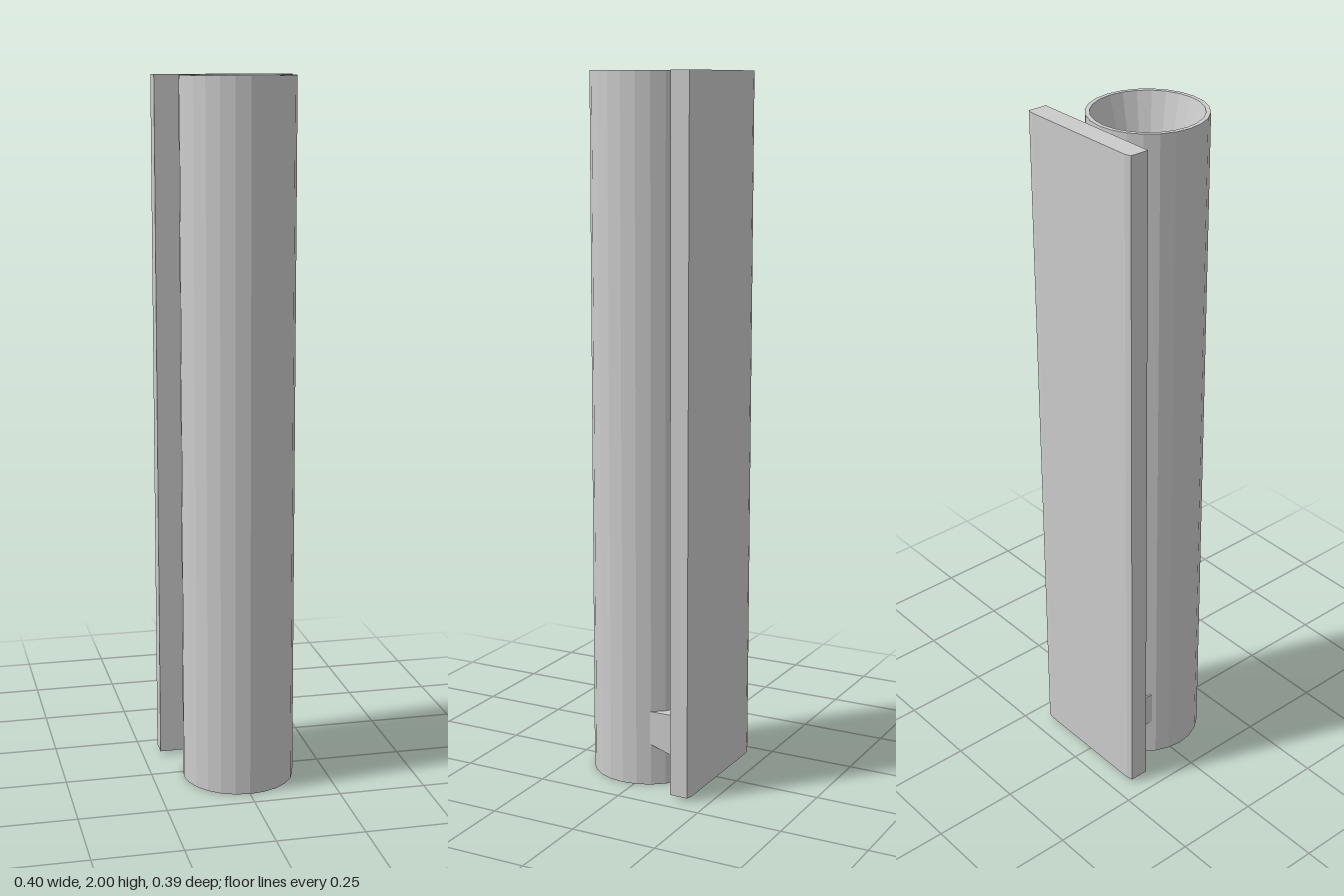
import * as THREE from 'three';

const TUBE_Z = 0.035;

// Prism from an x/z outline, standing between two heights
function prism(outline, y0, y1) {
  const shape = new THREE.Shape(outline.map(([x, z]) => new THREE.Vector2(x, -z)));
  const geometry = new THREE.ExtrudeGeometry(shape, { depth: y1 - y0, bevelEnabled: false });
  return geometry.rotateX(-Math.PI / 2).translate(0, y0, 0);
}

export function createModel() {
  const group = new THREE.Group();
  const material = new THREE.MeshStandardMaterial({ color: 0xcccccc, flatShading: true });
  const add = (name, geometry) => {
    const mesh = new THREE.Mesh(geometry, material);
    mesh.name = name;
    group.add(mesh);
  };

  // Round post with a tapered recess in each end
  const profile = [
    [0, 0.09], [0.11, 0.09], [0.142, 0], [0.16, 0],
    [0.16, 2], [0.148, 2], [0.11, 1.86], [0, 1.86],
  ].map(([r, y]) => new THREE.Vector2(r, y));
  add('post', new THREE.LatheGeometry(profile, 24).translate(0, 0, TUBE_Z));

  // Flat back plate with slightly chamfered rear edges
  add('backPlate', prism([
    [-0.198, -0.137], [0.198, -0.137], [0.198, -0.191],
    [0.18, -0.196], [-0.18, -0.196], [-0.198, -0.191],
  ], 0.01, 2));

  // Narrow spine joining the post to the plate
  add('spine', prism([
    [-0.08, -0.09], [0.08, -0.09], [0.08, -0.14], [-0.08, -0.14],
  ], 0.09, 1.86));

  // Mounting block at the foot, with its underside sloping down to the plate
  const block = prism([
    [-0.14, -0.02], [0.14, -0.02], [0.137, -0.14], [-0.11, -0.14],
  ], 0.09, 0.22);
  const p = block.attributes.position;
  for (let i = 0; i < p.count; i++) {
    if (p.getY(i) < 0.1 && p.getZ(i) > -0.1) p.setY(i, 0.13);
  }
  block.computeVertexNormals();
  add('footBlock', block);

  return group;
}
